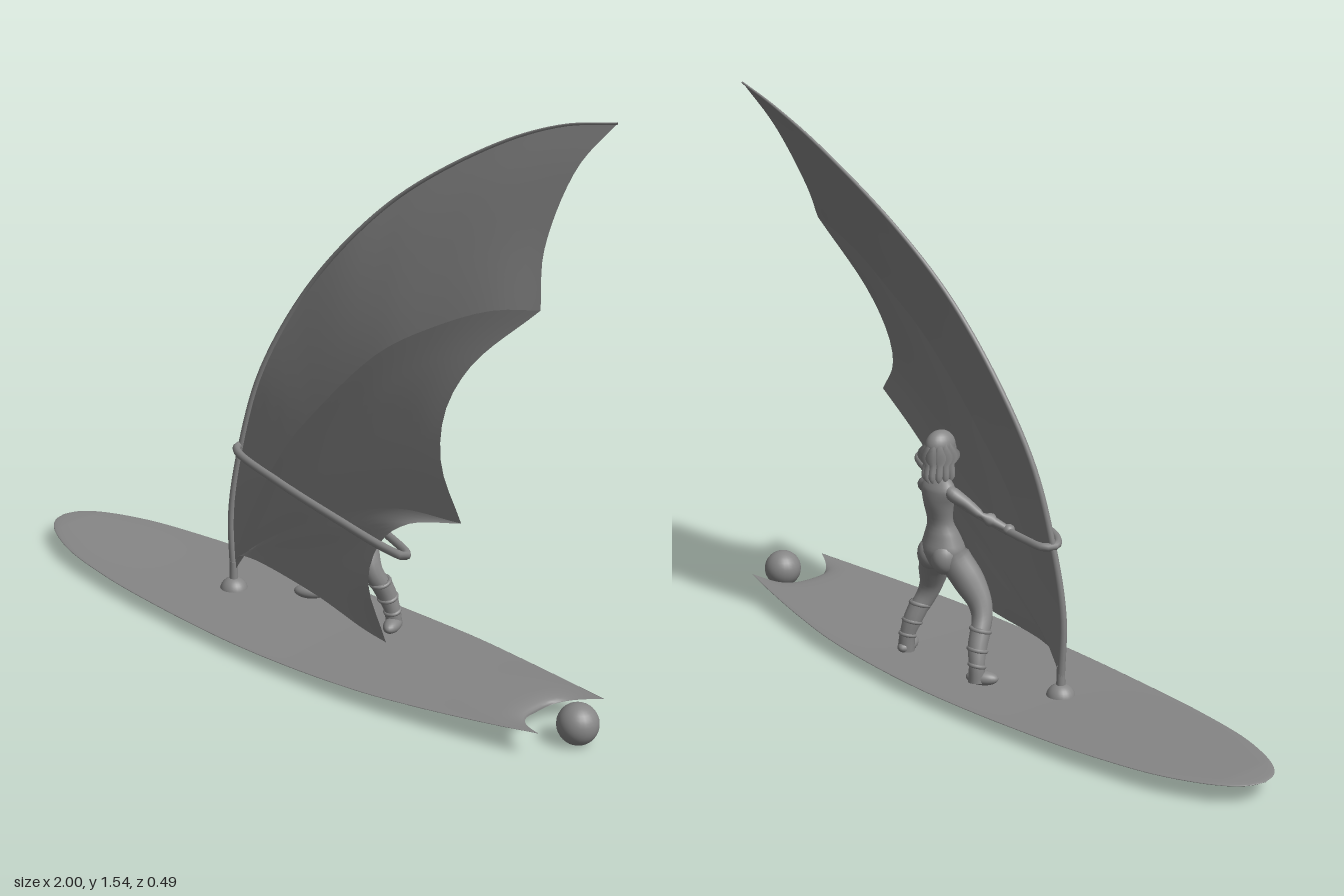
import * as THREE from 'three';
import { ParametricGeometry } from 'three/addons/geometries/ParametricGeometry.js';

const V = (p) => new THREE.Vector3(...p);
const curveOf = (pts) => new THREE.CatmullRomCurve3(pts.map(V));
const material = new THREE.MeshStandardMaterial({ color: 0x868686, side: THREE.DoubleSide });

function add(parent, name, geometry) {
  const mesh = new THREE.Mesh(geometry, material);
  mesh.name = name;
  parent.add(mesh);
  return mesh;
}

function ball(parent, name, center, radii) {
  const mesh = add(parent, name, new THREE.SphereGeometry(1, 24, 16));
  mesh.position.set(...center);
  mesh.scale.set(...radii);
  return mesh;
}

// Round tube whose radius varies; each station is [x, y, z, radius]
function limb(parent, name, stations, steps = 32, sides = 12) {
  const curve = curveOf(stations.map((s) => s.slice(0, 3)));
  const radii = curveOf(stations.map((s) => [s[3], 0, 0]));
  const geo = new THREE.TubeGeometry(curve, steps, 1, sides);
  const pos = geo.attributes.position;
  const p = new THREE.Vector3();
  for (let i = 0; i <= steps; i++) {
    const c = curve.getPointAt(i / steps);
    const r = Math.max(0.0005, radii.getPoint(curve.getUtoTmapping(i / steps)).x);
    for (let j = 0; j <= sides; j++) {
      const k = i * (sides + 1) + j;
      p.fromBufferAttribute(pos, k).sub(c).multiplyScalar(r).add(c);
      pos.setXYZ(k, p.x, p.y, p.z);
    }
  }
  return add(parent, name, geo);
}

// Stack of horizontal ellipses; each row is [x, y, z, halfWidth, halfDepth]
function stack(parent, name, rows) {
  const centers = curveOf(rows.map((r) => r.slice(0, 3)));
  const sizes = curveOf(rows.map((r) => [r[3], r[4], 0]));
  return add(parent, name, new ParametricGeometry((u, v, out) => {
    const c = centers.getPoint(v), s = sizes.getPoint(v), a = u * Math.PI * 2;
    out.set(c.x + s.x * Math.cos(a), c.y, c.z - s.y * Math.sin(a));
  }, 24, 32));
}

// Long thin board with upturned ends and a notched, scooped tail
function buildBoard(root) {
  const outline = curveOf([[-1, 0, 0], [-0.985, 0.045, 0], [-0.94, 0.09, 0], [-0.8, 0.155, 0],
    [-0.6, 0.198, 0], [-0.4, 0.222, 0], [0, 0.246, 0], [0.4, 0.23, 0], [0.6, 0.2, 0],
    [0.8, 0.16, 0], [0.93, 0.13, 0]]);
  add(root, 'board', new ParametricGeometry((u, v, out) => {
    const o = outline.getPoint(v), a = u * Math.PI * 2, s = Math.cos(a);
    const x = o.x - 0.11 * (1 - Math.abs(s) ** 3) * v ** 12;
    const rocker = 0.036 + (x > 0 ? 0.042 : 0.02) * x * x - 0.018 * (1 - s * s) * v ** 14;
    const thick = 0.008 * Math.min(1, o.y / 0.1) * (1 - 0.9 * v ** 20);
    out.set(x, rocker + thick * Math.sin(a), -s * o.y);
  }, 48, 60));
}

// Mast, scalloped sail and boom
function buildRig(root) {
  const rig = new THREE.Group();
  rig.name = 'rig';
  root.add(rig);
  const foot = [-0.27, 0.09, 0];

  const dome = add(rig, 'mastFoot', new THREE.SphereGeometry(0.04, 24, 10, 0, Math.PI * 2, 0, Math.PI / 2));
  dome.position.set(-0.27, 0.036, 0);
  const post = add(rig, 'mastPost', new THREE.CylinderGeometry(0.011, 0.013, 0.07, 12));
  post.position.set(-0.27, 0.09, 0);

  const ribs = [
    [foot, [-0.281, 0.27, -0.005], [-0.26, 0.47, -0.025], [-0.21, 0.68, -0.05], [-0.1, 0.9, -0.085],
      [0.05, 1.09, -0.112], [0.22, 1.25, -0.148], [0.5, 1.42, -0.173], [0.7, 1.5, -0.17], [0.885, 1.54, -0.142]],
    [foot, [-0.22, 0.24, 0.006], [-0.05, 0.52, 0.025], [0.07, 0.66, 0.03], [0.3, 0.88, 0.037],
      [0.5, 1.0, 0.05], [0.7, 1.09, 0.07], [0.86, 1.13, 0.09]],
    [foot, [-0.2, 0.18, 0.008], [0.1, 0.37, 0.055], [0.45, 0.53, 0.138], [0.76, 0.61, 0.24]],
    [foot, [-0.25, 0.145, 0.004], [-0.19, 0.163, 0.015], [0.1, 0.165, 0.065], [0.36, 0.175, 0.15], [0.51, 0.21, 0.225]],
  ];
  // Inner points of the scalloped trailing edge between neighbouring rib tips
  const scallops = [
    [[0.81, 1.43, -0.095], [0.795, 1.25, 0.0]],
    [[0.67, 0.95, 0.115], [0.62, 0.83, 0.145], [0.65, 0.72, 0.19]],
    [[0.56, 0.54, 0.21], [0.44, 0.44, 0.18], [0.41, 0.33, 0.185]],
  ];
  const curves = ribs.map(curveOf);
  scallops.forEach((inner, i) => {
    const [A, B] = [curves[i], curves[i + 1]];
    const [tipA, tipB] = [ribs[i].at(-1), ribs[i + 1].at(-1)];
    const edge = curveOf([tipA, ...inner, tipB]);
    add(rig, 'sailPanel' + (i + 1), new ParametricGeometry((u, v, out) => {
      const pull = edge.getPointAt(v).sub(V(tipA).lerp(V(tipB), v)).multiplyScalar(u * u);
      out.copy(A.getPointAt(u)).lerp(B.getPointAt(u), v).add(pull);
    }, 28, 16));
  });
  limb(rig, 'mast', ribs[0].map((p, i) => [...p, 0.011 - 0.0009 * i]), 60, 10);

  // Boom loop passing on both sides of the sail
  const boom = new THREE.CatmullRomCurve3([[-0.265, 0.466, -0.02], [-0.23, 0.468, 0.02], [0.02, 0.468, 0.105],
    [0.3, 0.466, 0.178], [0.5, 0.463, 0.222], [0.565, 0.46, 0.222], [0.55, 0.457, 0.198], [0.42, 0.455, 0.135],
    [0.2, 0.457, 0.04], [0, 0.46, -0.01], [-0.18, 0.462, -0.04], [-0.245, 0.464, -0.045]].map(V), true);
  add(rig, 'boom', new THREE.TubeGeometry(boom, 100, 0.011, 10, true));
}

// Rider leaning back and holding the boom
function buildRider(root) {
  const rider = new THREE.Group();
  rider.name = 'rider';
  root.add(rider);

  stack(rider, 'torso', [[0.08, 0.325, -0.105, 0.004, 0.004], [0.08, 0.345, -0.105, 0.048, 0.044],
    [0.08, 0.385, -0.107, 0.066, 0.056], [0.08, 0.425, -0.11, 0.054, 0.045], [0.08, 0.47, -0.117, 0.038, 0.032],
    [0.08, 0.52, -0.122, 0.046, 0.037], [0.08, 0.56, -0.122, 0.058, 0.034], [0.08, 0.585, -0.118, 0.04, 0.024],
    [0.08, 0.6, -0.115, 0.018, 0.017], [0.08, 0.63, -0.11, 0.016, 0.016]]);
  ball(rider, 'head', [0.08, 0.66, -0.104], [0.03, 0.048, 0.038]);
  ball(rider, 'nose', [0.08, 0.655, -0.067], [0.005, 0.008, 0.008]);

  // Hair cap and shoulder-length locks
  ball(rider, 'hairCap', [0.08, 0.677, -0.115], [0.034, 0.042, 0.045]);
  for (let i = 0; i < 9; i++) {
    const a = -0.25 + (i / 8) * (Math.PI + 0.5), c = Math.cos(a), s = Math.sin(a);
    limb(rider, 'hairLock', [[0.08 + 0.012 * c, 0.71, -0.115 - 0.02 * s, 0.004],
      [0.08 + 0.026 * c, 0.675, -0.115 - 0.035 * s, 0.012], [0.08 + 0.029 * c, 0.63, -0.115 - 0.038 * s, 0.012],
      [0.08 + 0.032 * c, 0.595, -0.115 - 0.045 * s, 0.01], [0.08 + 0.028 * c, 0.58, -0.115 - 0.04 * s, 0]], 16, 8);
  }

  // Paired body parts; side -1 is the leg and arm nearer the mast
  for (const side of [-1, 1]) {
    const x = (d) => 0.08 + side * d;
    ball(rider, 'chest', [x(0.023), 0.535, -0.092], [0.022, 0.023, 0.024]);
    ball(rider, 'seat', [x(0.028), 0.37, -0.125], [0.036, 0.046, 0.04]);
    limb(rider, 'leg', [[x(0.028), 0.41, -0.105, 0.01], [x(0.036), 0.37, -0.1, 0.044],
      [x(0.07), 0.31, -0.08, 0.043], [x(0.1), 0.25, -0.065, 0.033], [x(0.115), 0.21, -0.07, 0.028],
      [x(0.13), 0.16, -0.095, 0.025], [x(0.145), 0.1, -0.115, 0.018], [x(0.148), 0.06, -0.118, 0.018]]);

    // Boot with folded cuffs, toe turned outward
    limb(rider, 'bootShaft', [[x(0.126), 0.185, -0.084, 0.029], [x(0.135), 0.14, -0.104, 0.027],
      [x(0.145), 0.095, -0.115, 0.022], [x(0.148), 0.05, -0.118, 0.024]], 16);
    for (const [d, y, z, r] of [[0.126, 0.183, -0.085, 0.026], [0.136, 0.135, -0.105, 0.024], [0.145, 0.095, -0.115, 0.02]]) {
      const cuff = add(rider, 'bootCuff', new THREE.TorusGeometry(r, 0.006, 8, 20));
      cuff.position.set(x(d), y, z);
      cuff.rotation.x = Math.PI / 2 + 0.3;
    }
    const boot = ball(rider, 'bootFoot', [x(0.155), 0.06, -0.105], [0.023, 0.02, 0.045]);
    boot.rotation.y = side * (side < 0 ? 1.0 : 0.4);

    // Arm reaching to the boom
    const hand = side < 0 ? [-0.09, 0.465, -0.025] : [0.21, 0.46, 0.045];
    const elbow = side < 0 ? [-0.03, 0.505, -0.075] : [0.18, 0.505, -0.04];
    const mid = hand.map((h, i) => (h + elbow[i]) / 2);
    limb(rider, 'arm', [[x(0.04), 0.565, -0.122, 0.012], [x(0.059), 0.555, -0.12, 0.02],
      [(x(0.059) + elbow[0]) / 2, 0.532, (elbow[2] - 0.12) / 2, 0.016], [...elbow, 0.013],
      [...mid, 0.013], [...hand, 0.009]]);
    ball(rider, 'hand', hand, [0.017, 0.015, 0.017]);
  }
}

export function createModel() {
  const root = new THREE.Group();
  root.name = 'windsurfer';
  buildBoard(root);
  buildRig(root);
  buildRider(root);
  ball(root, 'tailBall', [0.945, 0.055, -0.005], [0.054, 0.054, 0.054]);
  return root;
}
